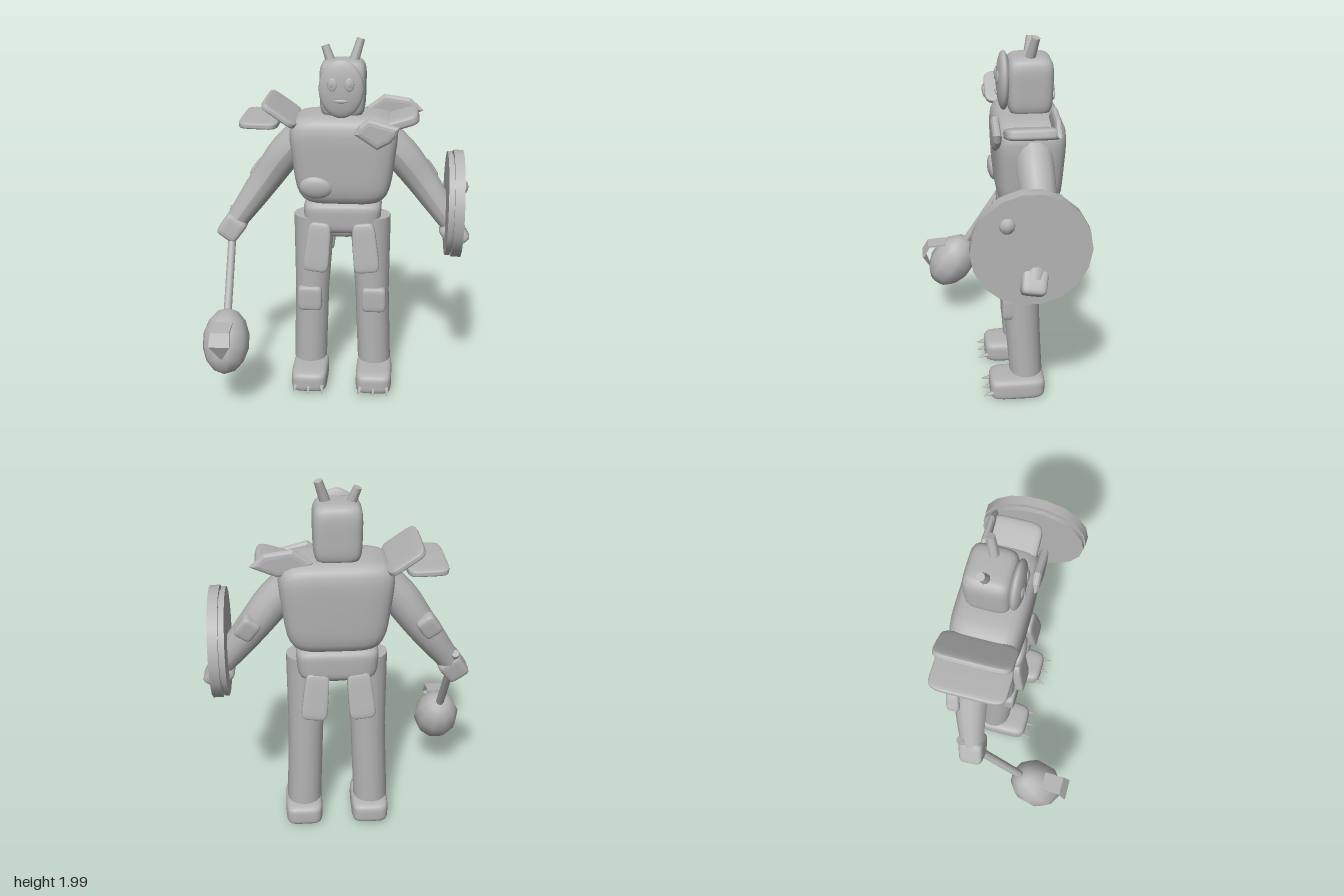
import * as THREE from 'three';
import { mergeVertices } from 'three/addons/utils/BufferGeometryUtils.js';

const clay = new THREE.MeshStandardMaterial({ color: 0xb4b4b4 });
clay.name = 'clay grey';

const V = (x, y, z) => new THREE.Vector3(x, y, z);
const MID = 0.027; // x of the body's own centre line

export function createModel() {
  const root = new THREE.Group();
  root.name = 'armouredFighter';

  const add = (name, geo, pos = [0, 0, 0], rot = [0, 0, 0]) => {
    const m = new THREE.Mesh(geo, clay);
    m.name = name;
    m.position.set(...pos);
    m.rotation.set(...rot);
    root.add(m);
    return m;
  };

  // Move vertices by a rule and keep the surface smooth
  const reshape = (geo, rule) => {
    geo.deleteAttribute('normal');
    geo.deleteAttribute('uv');
    geo = mergeVertices(geo, 1e-4);
    const p = geo.attributes.position, v = V(0, 0, 0);
    for (let i = 0; i < p.count; i++) {
      v.fromBufferAttribute(p, i);
      rule(v);
      p.setXYZ(i, v.x, v.y, v.z);
    }
    geo.computeVertexNormals();
    return geo;
  };

  // Pillow-like block: n sets how square it is, bx and bz scale its bottom
  const softBlock = (w, h, d, n = 6, bx = 1, bz = bx) =>
    reshape(new THREE.BoxGeometry(2, 2, 2, 10, 10, 10), (v) => {
      const len = (Math.abs(v.x) ** n + Math.abs(v.y) ** n + Math.abs(v.z) ** n) ** (1 / n);
      v.divideScalar(len);
      const t = 0.5 - v.y / 2;
      v.set(v.x * w * (1 + (bx - 1) * t), v.y * h, v.z * d * (1 + (bz - 1) * t)).multiplyScalar(0.5);
    });

  const blob = (x, y, z, ws = 16, hs = 12) => new THREE.SphereGeometry(1, ws, hs).scale(x, y, z);

  // Tube along points with a radius that follows a list
  const limb = (pts, radii) => {
    const path = new THREE.CatmullRomCurve3(pts), rows = 12, sides = 14;
    const geo = new THREE.TubeGeometry(path, rows, 1, sides, false);
    const p = geo.attributes.position, v = V(0, 0, 0);
    for (let i = 0; i < p.count; i++) {
      const u = Math.floor(i / (sides + 1)) / rows, c = path.getPointAt(u);
      const s = u * (radii.length - 1), k = Math.min(Math.floor(s), radii.length - 2);
      const r = THREE.MathUtils.lerp(radii[k], radii[k + 1], s - k);
      v.fromBufferAttribute(p, i).sub(c).multiplyScalar(r).add(c);
      p.setXYZ(i, v.x, v.y, v.z);
    }
    geo.computeVertexNormals();
    return geo;
  };

  const aim = (mesh, dir) => {
    mesh.quaternion.setFromUnitVectors(V(0, 1, 0), dir.clone().normalize());
    return mesh;
  };

  // Armour plate with a soft rim, outlined in the xy plane
  const plate = (outline, depth) => {
    const shape = new THREE.Shape(outline.map(([x, y]) => new THREE.Vector2(x, y)));
    return new THREE.ExtrudeGeometry(shape, {
      depth: depth * 0.1, bevelEnabled: true, bevelThickness: depth * 0.45,
      bevelSize: 0.03, bevelOffset: -0.03, bevelSegments: 3,
    });
  };

  // Trunk
  add('torso', softBlock(0.605, 0.49, 0.375, 5, 0.8, 0.86), [0.032, 1.375, -0.155]);
  add('pelvis', softBlock(0.43, 0.19, 0.3, 5, 0.94), [MID, 1.06, -0.155]);
  add('crotch', softBlock(0.18, 0.16, 0.24, 5, 0.8), [MID, 1.015, -0.145]);
  add('bellyPatch', blob(0.088, 0.062, 0.03), [-0.108, 1.245, 0.005], [0.12, 0, -0.08]);

  // Head
  add('head', softBlock(0.245, 0.3, 0.235, 5, 0.96), [0.025, 1.745, -0.165]);
  add('neck', new THREE.CylinderGeometry(0.08, 0.1, 0.12, 14), [0.025, 1.6, -0.165]);
  add('faceMask', blob(0.115, 0.15, 0.036, 24, 18), [0.022, 1.762, -0.036]);
  for (const s of [-1, 1]) {
    add('eye', blob(0.025, 0.034, 0.007), [0.022 + s * 0.044, 1.79, -0.002], [-0.06, s * 0.15, 0]);
    add('pupil', blob(0.01, 0.017, 0.004, 10, 8), [0.022 + s * 0.044, 1.79, 0.003]);
  }
  add('mouth', blob(0.037, 0.009, 0.006), [0.022, 1.706, -0.001]);
  for (const [base, tip] of [
    [V(-0.03, 1.85, -0.165), V(-0.07, 1.96, -0.18)],
    [V(0.07, 1.85, -0.155), V(0.115, 1.995, -0.185)],
  ]) {
    const d = tip.clone().sub(base);
    const horn = new THREE.CylinderGeometry(0.021, 0.028, d.length(), 8);
    aim(add('horn', horn, base.clone().add(tip).multiplyScalar(0.5).toArray()), d);
  }

  // Arms with elbow guards and cuffs
  const arms = [
    { pts: [V(-0.14, 1.52, -0.165), V(-0.26, 1.42, -0.165), V(-0.4, 1.23, -0.17), V(-0.6, 0.95, -0.125)], cuff: [-0.587, 0.962, -0.125], elbow: [-0.43, 1.26, -0.245] },
    { pts: [V(0.19, 1.52, -0.165), V(0.31, 1.42, -0.165), V(0.455, 1.24, -0.17), V(0.65, 0.97, -0.125)], cuff: [0.638, 0.96, -0.125], elbow: [0.475, 1.27, -0.24] },
  ];
  for (const a of arms) {
    add('arm', limb(a.pts, [0.095, 0.093, 0.078, 0.055]));
    const dir = a.pts[2].clone().sub(a.pts[3]);
    aim(add('cuff', softBlock(0.13, 0.14, 0.13, 6, 0.95), a.cuff), dir);
    aim(add('elbowGuard', softBlock(0.1, 0.12, 0.07, 5), a.elbow), dir);
  }

  // Legs, knee pads, feet and claws
  for (const s of [-1, 1]) {
    const leg = new THREE.CylinderGeometry(1, 1, 0.9, 16, 6);
    const p = leg.attributes.position;
    for (let i = 0; i < p.count; i++) {
      const t = 0.5 - p.getY(i) / 0.9; // 0 at the hip, 1 at the ankle
      p.setX(i, p.getX(i) * (0.112 - 0.018 * Math.min(1, t * 2)) + s * (0.152 + 0.033 * t));
      p.setZ(i, p.getZ(i) * (0.1 - 0.01 * t) - 0.12 - 0.03 * t + Math.sin(Math.PI * t) * 0.012);
    }
    add('leg', leg, [MID - 0.002, 0.61, 0]);
    add('kneePad', softBlock(0.135, 0.145, 0.075, 6), [MID + s * 0.178, 0.58, -0.05]);
    add('foot', softBlock(0.205, 0.128, 0.305, 5), [MID + s * 0.185, 0.072, -0.1]);
    for (const c of [-1, 0, 1]) {
      add('claw', new THREE.ConeGeometry(0.028, 0.125, 8), [MID + s * 0.185 + c * 0.074, 0.054, 0.04], [Math.PI / 2 + 0.25, 0, -c * 0.15]);
    }
    // Hanging hip plates, front and back
    add('frontHipPlate', softBlock(0.12, 0.275, 0.05, 6, 1.2, 1), [MID + s * 0.128, 0.905, 0.0], [-0.12, 0, s * 0.1]);
    add('backHipPlate', softBlock(0.12, 0.255, 0.05, 6, 1.15, 1), [MID + s * 0.115, 0.895, -0.295], [0.16, 0, s * 0.1]);
  }

  // Shoulder guard on the right: two stacked slabs
  add('outerShoulderSlab', softBlock(0.205, 0.038, 0.375, 6), [-0.405, 1.577, -0.15], [0, 0, -0.03]);
  add('innerShoulderSlab', softBlock(0.21, 0.038, 0.38, 6), [-0.297, 1.628, -0.155], [0, 0, -0.61]);

  // Shoulder guard on the left: front plate, top slab and back plate
  add('frontShoulderPlate', plate([[0.09, 1.54], [0.115, 1.585], [0.165, 1.625], [0.325, 1.58], [0.31, 1.535], [0.275, 1.495], [0.21, 1.46]], 0.045), [0, 0, 0.015]);
  add('topShoulderSlab', softBlock(0.21, 0.06, 0.265, 5), [0.322, 1.585, -0.145], [0, 0, 0.3]);
  add('backShoulderPlate', plate([[0.145, 1.62], [0.24, 1.69], [0.38, 1.67], [0.45, 1.605], [0.32, 1.55], [0.18, 1.56]], 0.035), [0, 0, -0.265]);

  // Shield: front disc, thin back disc and a core joining them
  const disc = (name, r, x0, x1) =>
    add(name, new THREE.CylinderGeometry(r, r, x1 - x0, 18), [(x0 + x1) / 2, 1.135, -0.11], [0, 0, -Math.PI / 2]);
  disc('shieldFace', 0.289, 0.614, 0.665);
  disc('shieldCore', 0.265, 0.6, 0.62);
  disc('shieldBack', 0.282, 0.583, 0.605);
  add('shieldStud', blob(0.032, 0.042, 0.042, 8, 6), [0.657, 1.268, 0.005]);

  // Club: handle and egg-shaped head
  const along = V(0, -0.84, 0.54);
  aim(add('clubHandle', new THREE.CylinderGeometry(0.022, 0.022, 0.66, 10), [-0.585, 0.785, -0.01]), along);
  aim(add('clubHead', blob(0.129, 0.178, 0.132, 10, 7), [-0.583, 0.432, 0.22]), along);

  // Folded blade on the club: a thin box bent over rows of half-width, y and z
  const rows = [[0.05, 0.565, 0.26], [0.05, 0.555, 0.365], [0.056, 0.49, 0.402], [0.004, 0.395, 0.36]];
  const blade = new THREE.BoxGeometry(1, 1, 1, 1, 3, 1).toNonIndexed();
  const b = blade.attributes.position;
  for (let i = 0; i < b.count; i++) {
    const [half, y, z] = rows[Math.round((0.5 - b.getY(i)) * 3)];
    const inset = b.getZ(i) > 0 ? 0 : 0.1;
    b.setXYZ(i, b.getX(i) * 2 * half, y + (0.47 - y) * inset, z + (0.28 - z) * inset);
  }
  blade.computeVertexNormals();
  add('clubBlade', blade, [-0.585, 0, 0]);

  return root;
}
